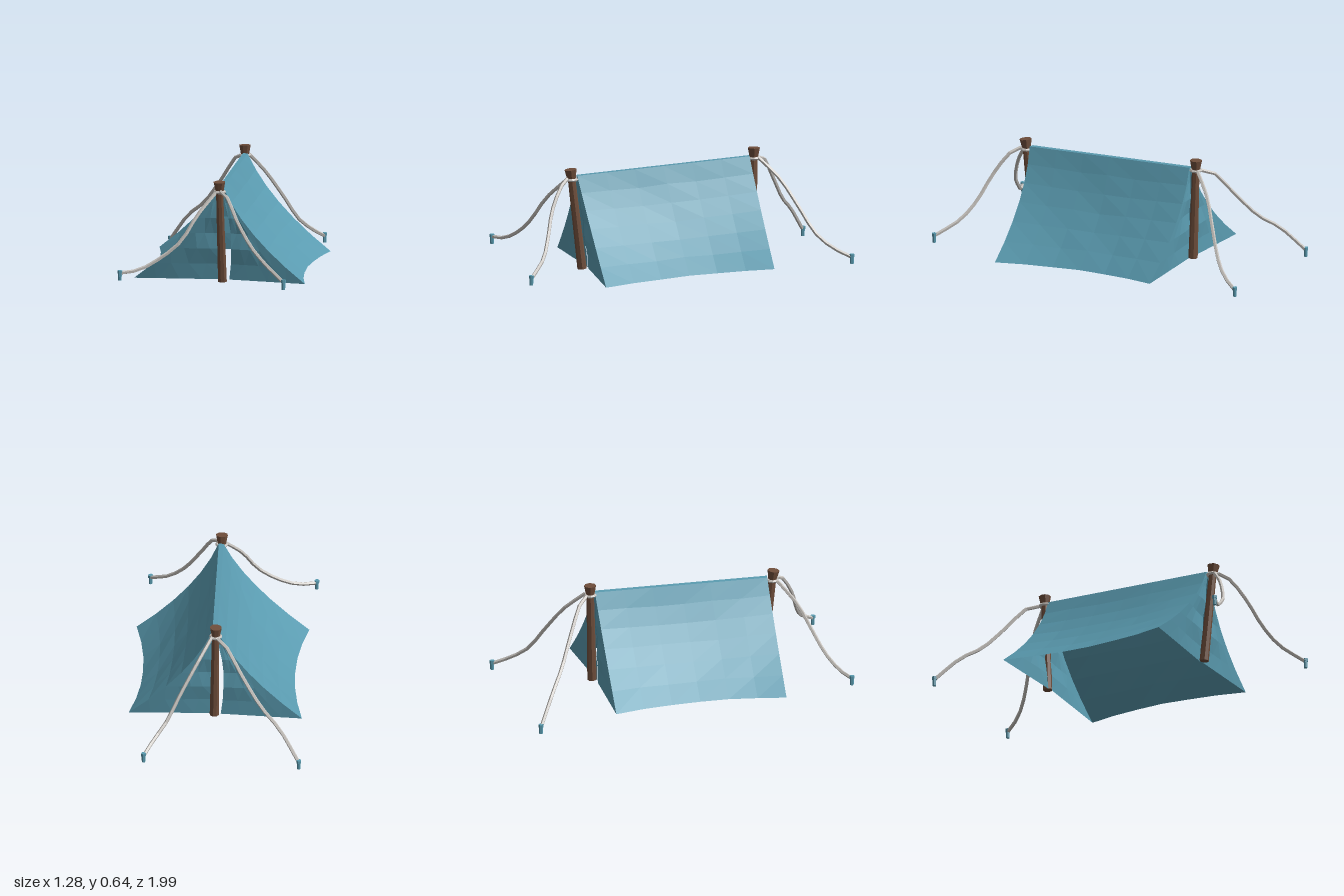
import * as THREE from 'three';

const V = (x, y, z) => new THREE.Vector3(x, y, z);
const canvasMat = new THREE.MeshStandardMaterial({ color: 0x5a9bb0, flatShading: true, side: THREE.DoubleSide });
canvasMat.name = 'teal canvas';
const woodMat = new THREE.MeshStandardMaterial({ color: 0x6f4e3b, flatShading: true });
woodMat.name = 'brown wood';
const ropeMat = new THREE.MeshStandardMaterial({ color: 0xc6c2bd, flatShading: true });
ropeMat.name = 'pale rope';

// Rectangular patch whose points come from fn(u, v)
function patch(name, fn, nu, nv) {
  const pos = [], idx = [];
  for (let j = 0; j <= nv; j++) {
    for (let i = 0; i <= nu; i++) pos.push(...fn(i / nu, j / nv).toArray());
  }
  for (let j = 0; j < nv; j++) {
    for (let i = 0; i < nu; i++) {
      const a = j * (nu + 1) + i, b = a + nu + 1;
      idx.push(a, b, a + 1, a + 1, b, b + 1);
    }
  }
  const g = new THREE.BufferGeometry();
  g.setAttribute('position', new THREE.Float32BufferAttribute(pos, 3));
  g.setIndex(idx);
  g.computeVertexNormals();
  const mesh = new THREE.Mesh(g, canvasMat);
  mesh.name = name;
  return mesh;
}

// Ridge ends and ground corners, back then front
const ridge = [V(-0.06, 0.6, -0.435), V(0.15, 0.56, 0.548)];
const corners = {
  '-1': [V(-0.54, 0.06, -0.36), V(-0.34, 0.035, 0.61)],
  '1': [V(0.41, 0.06, -0.53), V(0.605, 0.022, 0.43)],
};

// Sagging roof slope: s runs back to front, t runs ridge to ground
function slope(side, s, t) {
  const top = ridge[0].clone().lerp(ridge[1], s);
  top.x += side * 0.014;
  const p = top.lerp(corners[side][0].clone().lerp(corners[side][1], s), t);
  const mid = 4 * s * (1 - s);
  p.x -= side * (0.24 * t * (1 - t) + 0.06 * mid * t * t);
  p.y -= 0.012 * mid * Math.sin(Math.PI * t);
  p.y += 0.004 * Math.sin(s * 14 + side) * Math.sin(t * 9) * mid;
  return p;
}

// Inner edge of an end flap, hanging just behind the pole
function flapEdge(end, side, t) {
  const low = end ? V(0.15, 0.034, 0.488) : V(-0.06, 0.06, -0.42);
  const p = ridge[end].clone().lerp(low, t);
  const open = side === (end ? 1 : -1) ? 0.014 + 0.034 * Math.sin(Math.PI * Math.min(1, t * 0.85)) : 0.0;
  p.x += side * open * Math.min(1, t * 4);
  return p;
}

function flap(end, side) {
  return patch((end ? 'front' : 'back') + 'Flap', (u, t) => {
    const p = flapEdge(end, side, t).lerp(slope(side, end, t), u);
    // Shallow horizontal folds, pinned at the seam
    p.z -= (end ? 1 : -1) * 0.007 * Math.sin(t * Math.PI * 5) * Math.sin(Math.PI * Math.min(1, u + 0.25));
    return p;
  }, 4, 6);
}

// Cylinder between two points
function rod(name, a, b, ra, rb, sides, mat) {
  const d = b.clone().sub(a);
  const m = new THREE.Mesh(new THREE.CylinderGeometry(rb, ra, d.length(), sides), mat);
  m.position.copy(a).add(b).multiplyScalar(0.5);
  m.quaternion.setFromUnitVectors(V(0, 1, 0), d.normalize());
  m.name = name;
  return m;
}

function pole(name, foot, head) {
  const g = new THREE.Group();
  g.name = name;
  const neck = foot.clone().lerp(head, 0.91);
  g.add(rod('poleShaft', foot, neck, 0.026, 0.021, 8, woodMat));
  g.add(rod('poleHead', neck, head, 0.024, 0.034, 8, woodMat));
  // Rope loop tied under the head
  const loop = new THREE.Mesh(new THREE.TorusGeometry(0.028, 0.009, 5, 10), ropeMat);
  loop.position.copy(foot).lerp(head, 0.9);
  loop.rotation.x = Math.PI / 2;
  loop.name = 'ropeLoop';
  g.add(loop);
  return g;
}

// Guy rope with its stake
function guy(points, stake) {
  const g = new THREE.Group();
  g.name = 'guyLine';
  const curve = new THREE.CatmullRomCurve3(points.map((p) => V(...p)));
  const rope = new THREE.Mesh(new THREE.TubeGeometry(curve, 10, 0.0105, 5), ropeMat);
  rope.name = 'guyRope';
  const [x, y, z] = stake;
  g.add(rope);
  g.add(rod('stake', V(x, y, z), V(x, y + 0.042, z), 0.01, 0.011, 6, canvasMat));
  g.add(rod('stakeHead', V(x, y + 0.038, z), V(x, y + 0.055, z), 0.014, 0.014, 6, canvasMat));
  return g;
}

export function createModel() {
  const model = new THREE.Group();
  model.name = 'tent';

  for (const side of [-1, 1]) {
    model.add(patch(side < 0 ? 'rightSlope' : 'leftSlope', (s, t) => slope(side, s, t), 6, 6));
    for (const end of [0, 1]) model.add(flap(end, side));
  }
  model.add(patch('ridgeStrip', (s, t) => slope(-1, s, 0).lerp(slope(1, s, 0), t), 6, 1));

  model.add(pole('frontPole', V(0.15, 0.027, 0.52), V(0.155, 0.595, 0.585)));
  model.add(pole('backPole', V(-0.06, 0.07, -0.45), V(-0.072, 0.643, -0.462)));

  model.add(guy([[0.14, 0.535, 0.605], [0.07, 0.42, 0.71], [0, 0.28, 0.79], [-0.1, 0.19, 0.85],
    [-0.2, 0.13, 0.92], [-0.285, 0.117, 0.975]], [-0.29, 0.076, 0.98]));
  model.add(guy([[0.17, 0.545, 0.605], [0.22, 0.52, 0.64], [0.3, 0.4, 0.7], [0.4, 0.26, 0.735],
    [0.5, 0.17, 0.77], [0.625, 0.095, 0.845]], [0.63, 0.052, 0.85]));
  model.add(guy([[-0.09, 0.585, -0.485], [-0.14, 0.57, -0.52], [-0.26, 0.42, -0.59], [-0.38, 0.28, -0.65],
    [-0.5, 0.19, -0.71], [-0.625, 0.045, -0.785]], [-0.63, 0, -0.79]));
  model.add(guy([[-0.055, 0.59, -0.485], [0, 0.48, -0.6], [0.07, 0.33, -0.7], [0.13, 0.19, -0.79],
    [0.18, 0.12, -0.88], [0.21, 0.075, -0.975]], [0.212, 0.035, -0.982]));

  return model;
}
